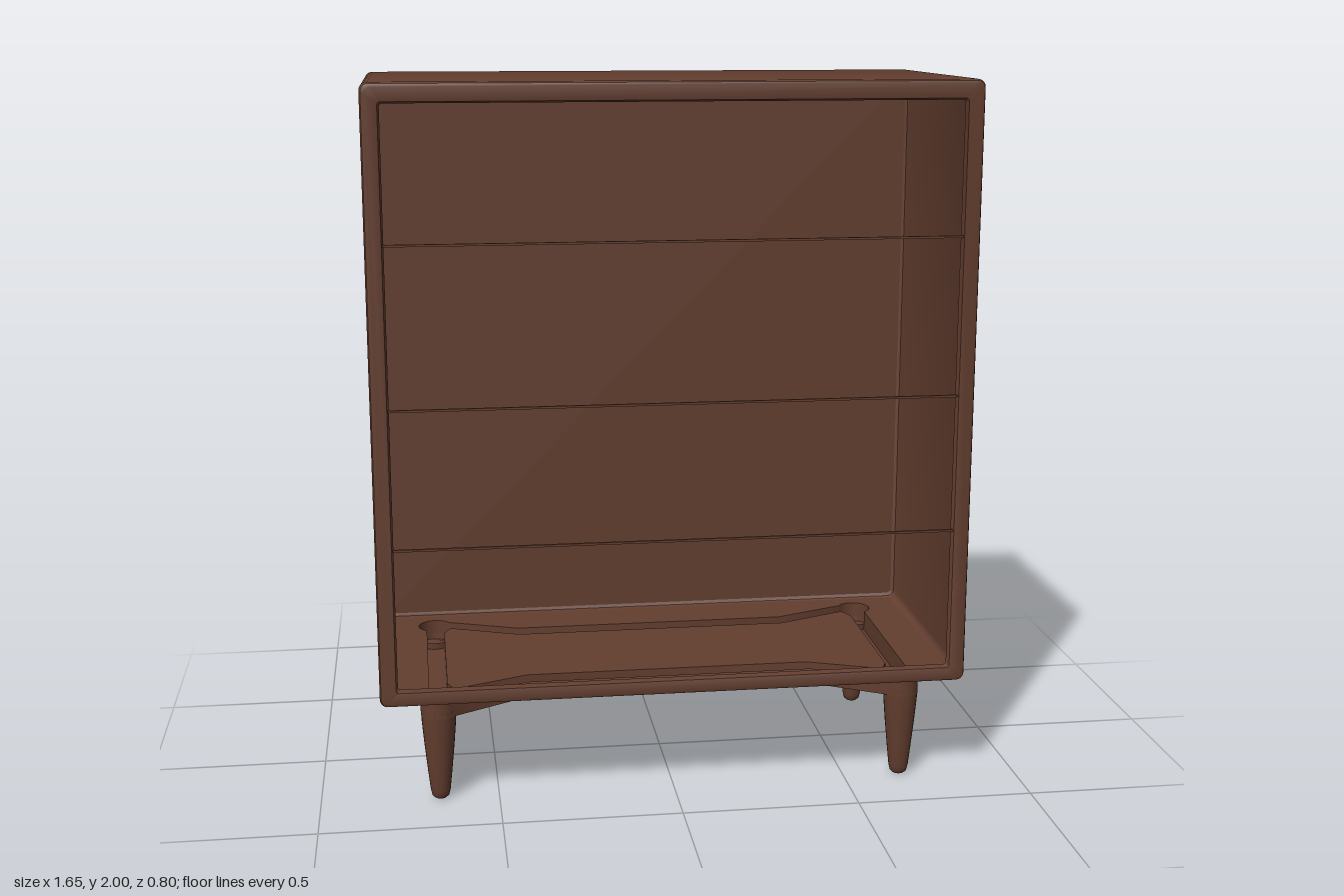
import * as THREE from 'three';
import { toCreasedNormals } from 'three/addons/utils/BufferGeometryUtils.js';

const FLOOR = 0.31;

function addMesh(group, name, geometry, material) {
  const mesh = new THREE.Mesh(geometry, material);
  mesh.name = name;
  group.add(mesh);
  return mesh;
}

// Rounded rectangle as [x, y] points, starting at the lower right corner
function roundedRect(hw, y0, y1, r, steps = 4) {
  const pts = [];
  const centres = [[hw - r, y0 + r], [hw - r, y1 - r], [-hw + r, y1 - r], [-hw + r, y0 + r]];
  centres.forEach(([cx, cy], c) => {
    for (let i = 0; i <= steps; i++) {
      const a = (c - 1 + i / steps) * Math.PI / 2;
      pts.push([cx + r * Math.cos(a), cy + r * Math.sin(a)]);
    }
  });
  return pts;
}

// Joins closed loops of equal length; skip(ring, point) leaves a quad out
function loft(loops, skip = () => false) {
  const n = loops[0].length, index = [];
  for (let k = 0; k < loops.length - 1; k++) {
    for (let i = 0; i < n; i++) {
      if (skip(k, i)) continue;
      const j = (i + 1) % n, a = k * n + i, b = k * n + j;
      index.push(a, a + n, b, b, a + n, b + n);
    }
  }
  const g = new THREE.BufferGeometry();
  g.setAttribute('position', new THREE.Float32BufferAttribute(loops.flat(2), 3));
  g.setIndex(index);
  return toCreasedNormals(g, 0.7);
}

// Mirrors a first-quadrant run of [x, z] points into a closed outline
function mirrorOutline(q) {
  const flip = (sx, sz) => q.map(([x, z]) => [x * sx, z * sz]);
  return [...q, ...flip(-1, 1).reverse(), ...flip(-1, -1), ...flip(1, -1).reverse()];
}

const toVectors = (pts) => pts.map(([x, y]) => new THREE.Vector2(x, y));

function flatPlate(outline, hole) {
  const shape = new THREE.Shape(toVectors(outline));
  if (hole) shape.holes.push(new THREE.Path(toVectors(hole)));
  return new THREE.ShapeGeometry(shape).rotateX(Math.PI / 2);
}

export function createModel() {
  const group = new THREE.Group();
  group.name = 'cabinet';
  const wood = new THREE.MeshStandardMaterial({ color: 0x623d2e, side: THREE.DoubleSide });
  wood.name = 'brownWood';

  // Thin hollow carcass with a front rim: half width, bottom, top, corner radius, z
  const rings = [
    [0.775, 0.355, 1.945, 0.008, 0.375],
    [0.78, 0.35, 1.95, 0.008, 0.393],
    [0.812, 0.323, 1.987, 0.015, 0.4],
    [0.821, 0.314, 1.996, 0.02, 0.396],
    [0.825, FLOOR, 2, 0.022, 0.386],
    [0.825, FLOOR, 2, 0.022, -0.372],
    [0.821, 0.314, 1.996, 0.02, -0.381],
    [0.812, 0.323, 1.987, 0.015, -0.385],
  ];
  const loops = rings.map(([hw, y0, y1, r, z]) =>
    roundedRect(hw, y0, y1, r).map(([x, y]) => [x, y, z]));
  const last = loops[0].length - 1;
  addMesh(group, 'carcass', loft(loops, (k, i) => k === 4 && i === last), wood);

  const back = new THREE.Shape(toVectors(roundedRect(0.812, 0.323, 1.987, 0.015)));
  addMesh(group, 'backWall', new THREE.ShapeGeometry(back), wood).position.z = -0.385;

  // Rounded panel standing just off the back
  const panel = new THREE.Shape(toVectors(roundedRect(0.768, 0.36, 1.955, 0.055, 8)));
  const panelGeometry = new THREE.ExtrudeGeometry(panel, { depth: 0.007, bevelEnabled: false });
  addMesh(group, 'backPanel', panelGeometry, wood).position.z = -0.4;

  // Thin drawer dividers across the opening
  for (const y of [0.755, 1.14, 1.58]) {
    addMesh(group, 'drawerDivider', new THREE.BoxGeometry(1.555, 0.006, 0.008), wood)
      .position.set(0, y, 0.388);
  }

  // Underframe: a hollow ring of rails that bows inward and wraps each leg
  const base = new THREE.Group();
  base.name = 'base';
  base.position.z = 0.007;
  group.add(base);
  const legX = 0.665, legZ = 0.293;
  const outerQuarter = [];
  for (let i = 0; i <= 10; i++) {
    const a = THREE.MathUtils.degToRad(-60 + 21 * i);
    outerQuarter.push([legX + 0.05 * Math.cos(a), legZ + 0.05 * Math.sin(a)]);
  }
  outerQuarter.push([0.41, 0.235]);
  const outer = mirrorOutline(outerQuarter);
  const inner = mirrorOutline([[0.638, 0.22], [0.618, 0.262], [0.59, 0.252], [0.41, 0.178]]);
  const railY = (x) => (Math.abs(x) < 0.45 ? 0.265 : 0.25);

  const wall = (outline) => loft([
    outline.map(([x, z]) => [x, FLOOR, z]),
    outline.map(([x, z]) => [x, railY(x), z]),
  ]);
  addMesh(base, 'railOuterWall', wall(outer), wood);
  addMesh(base, 'railInnerWall', wall(inner), wood);

  const underside = flatPlate(outer, inner);
  const p = underside.attributes.position;
  for (let i = 0; i < p.count; i++) p.setY(i, railY(p.getX(i)));
  underside.computeVertexNormals();
  addMesh(base, 'railUnderside', underside, wood);

  // Floor around and inside the rails
  const hx = 0.803, hz = 0.379;
  const rect = [[hx, -hz], [hx, hz], [-hx, hz], [-hx, -hz]];
  addMesh(base, 'outerFloor', flatPlate(rect, outer), wood).position.y = FLOOR;
  addMesh(base, 'innerFloor', flatPlate(inner), wood).position.y = FLOOR;

  // Tapered round legs
  const profile = [[0, 0], [0.016, 0.001], [0.024, 0.008], [0.028, 0.025], [0.034, 0.08],
    [0.042, 0.16], [0.048, 0.23], [0.05, 0.27]];
  const legGeometry = new THREE.LatheGeometry(toVectors(profile), 24);
  for (const sx of [-1, 1]) {
    for (const sz of [-1, 1]) {
      addMesh(base, 'leg', legGeometry, wood).position.set(sx * legX, 0, sz * legZ);
    }
  }
  return group;
}
